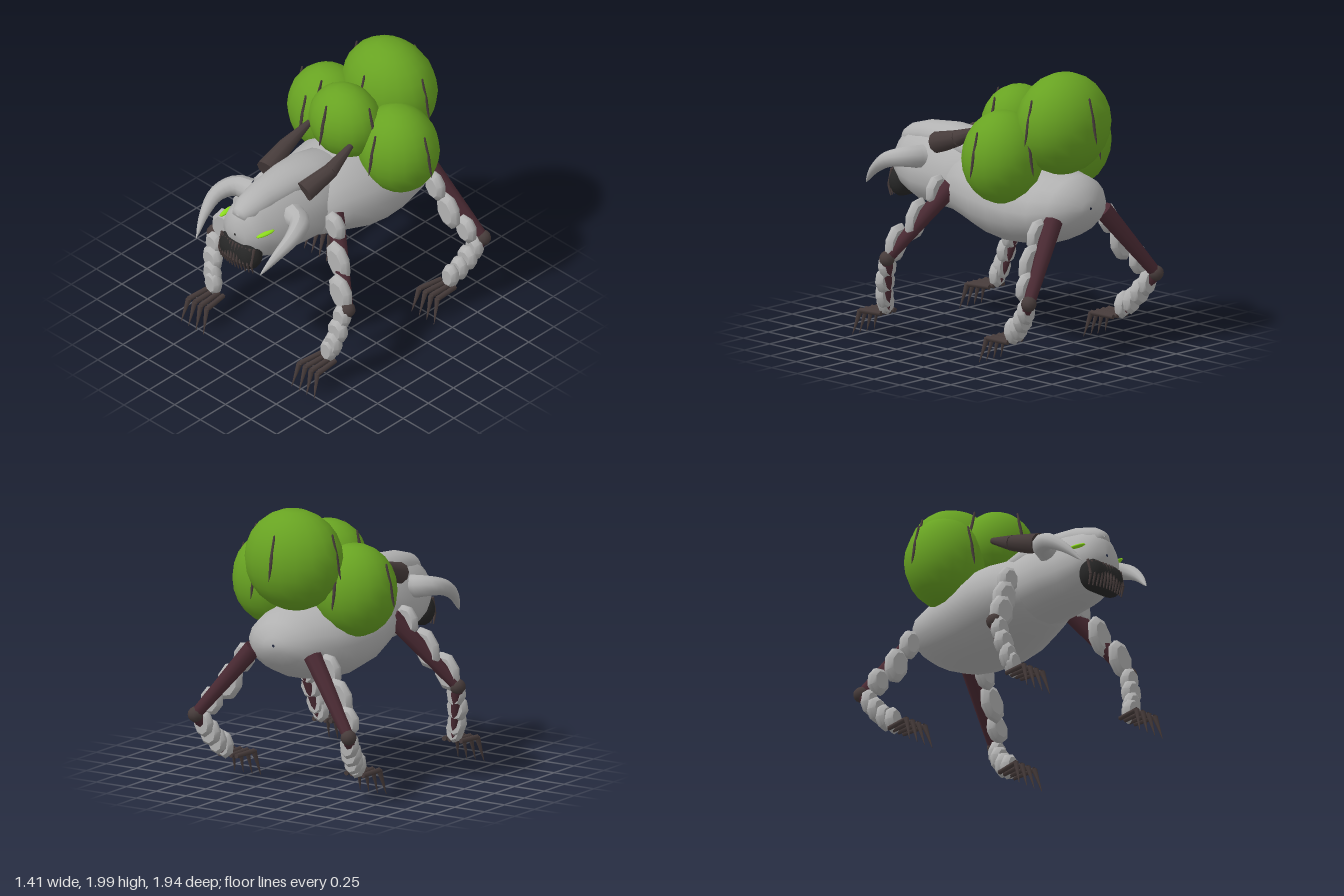
import * as THREE from 'three';
import { mergeVertices, toCreasedNormals } from 'three/addons/utils/BufferGeometryUtils.js';

const mat = (name, color) => {
  const m = new THREE.MeshStandardMaterial({ color });
  m.name = name;
  return m;
};
const V = (p, s = 1) => new THREE.Vector3(p[0] * s, p[1], p[2]);

export function createModel() {
  const root = new THREE.Group();
  root.name = 'creature';
  const hide = mat('pale grey hide', 0xb2b2b2);
  const green = mat('green sac', 0x68a322);
  const horn = mat('dark brown horn', 0x473c3b);
  const flesh = mat('maroon flesh', 0x4a2a33);
  const black = mat('black mouth', 0x272727);
  const lime = mat('lime eye', 0x8fe01e);

  const add = (parent, name, geo, material) => {
    const m = new THREE.Mesh(geo, material);
    m.name = name;
    parent.add(m);
    return m;
  };
  // Tapered bar between two points
  const bar = (parent, name, a, b, r0, r1, material, seg = 8) => {
    const d = b.clone().sub(a);
    const m = add(parent, name, new THREE.CylinderGeometry(r1, r0, d.length(), seg), material);
    m.position.copy(a).add(b).multiplyScalar(0.5);
    m.quaternion.setFromUnitVectors(new THREE.Vector3(0, 1, 0), d.normalize());
    return m;
  };
  // Closed skin over elliptical rings [z, bottom, top, halfWidth], front to back
  const loft = (rings, pinch = 0, n = 18) => {
    const pos = [], idx = [];
    for (const [z, lo, hi, rx] of rings) {
      for (let j = 0; j < n; j++) {
        const a = (j / n) * Math.PI * 2, s = Math.sin(a);
        pos.push(Math.cos(a) * rx * (1 - pinch * s), (lo + hi) / 2 + s * (hi - lo) / 2, z);
      }
    }
    for (let i = 0; i < rings.length - 1; i++) {
      for (let j = 0; j < n; j++) {
        const a = i * n + j, b = i * n + (j + 1) % n, c = a + n, d = b + n;
        idx.push(a, c, b, b, c, d);
      }
    }
    const g = new THREE.BufferGeometry();
    g.setAttribute('position', new THREE.Float32BufferAttribute(pos, 3));
    g.setIndex(idx);
    g.computeVertexNormals();
    return g;
  };

  // Torso, skull and the raised crest over the skull
  add(root, 'body', loft([
    [0.40, 1.05, 1.15, 0.02], [0.33, 0.92, 1.24, 0.2], [0.22, 0.85, 1.32, 0.3], [0.08, 0.82, 1.38, 0.36],
    [-0.1, 0.765, 1.4, 0.405], [-0.28, 0.74, 1.38, 0.41], [-0.45, 0.75, 1.34, 0.4], [-0.62, 0.785, 1.3, 0.365],
    [-0.76, 0.85, 1.28, 0.3], [-0.85, 0.92, 1.23, 0.21], [-0.9, 1.01, 1.13, 0.09], [-0.905, 1.06, 1.08, 0.01]], 0.08), hide);
  add(root, 'head', loft([
    [0.9, 1.15, 1.17, 0.01], [0.89, 1.07, 1.26, 0.09], [0.85, 1.0, 1.34, 0.16], [0.76, 0.93, 1.39, 0.205],
    [0.62, 0.88, 1.42, 0.24], [0.45, 0.87, 1.44, 0.26], [0.28, 0.86, 1.43, 0.265], [0.12, 0.9, 1.41, 0.25],
    [-0.05, 1, 1.36, 0.18], [-0.1, 1.1, 1.2, 0.01]], 0.2), hide);
  add(root, 'crest', loft([
    [0.875, 1.31, 1.32, 0.01], [0.865, 1.25, 1.36, 0.06], [0.8, 1.23, 1.405, 0.1], [0.65, 1.24, 1.45, 0.125],
    [0.4, 1.24, 1.475, 0.15], [0.2, 1.22, 1.455, 0.18], [0, 1.22, 1.4, 0.17], [-0.08, 1.28, 1.32, 0.01]]), hide);

  // Mouth with a curved row of long teeth
  const mouth = add(root, 'mouth', new THREE.CapsuleGeometry(0.1, 0.16, 5, 14), black);
  mouth.rotation.z = Math.PI / 2;
  mouth.scale.set(1.2, 1, 0.88);
  mouth.position.set(0, 1.005, 0.84);
  for (let i = 0; i < 12; i++) {
    const x = -0.155 + i * 0.31 / 11, z = 0.93 - x * x * 1.3;
    bar(root, 'upperTooth', V([x, 1.09, z - 0.03]), V([x, 0.97, z]), 0.011, 0.01, horn, 6);
    bar(root, 'lowerTooth', V([x, 0.97, z]), V([x, 0.895, z - 0.02]), 0.01, 0.005, horn, 6);
  }

  // Eyes, tusks and horns
  for (const s of [1, -1]) {
    const eye = add(root, 'eye', new THREE.SphereGeometry(1, 10, 8), lime);
    eye.scale.set(0.022, 0.012, 0.08);
    eye.position.set(s * 0.19, 1.205, 0.79);
    eye.rotation.y = -s * 0.15;

    const curve = new THREE.CatmullRomCurve3([[0.2, 1.24, 0.53], [0.31, 1.25, 0.57], [0.37, 1.22, 0.7],
      [0.355, 1.13, 0.84], [0.31, 1.0, 0.97]].map(p => V(p, s)));
    const n = 14, seg = 10;
    const tusk = new THREE.TubeGeometry(curve, n, 1, seg);
    const p = tusk.attributes.position, v = new THREE.Vector3();
    for (let i = 0; i <= n; i++) {
      const c = curve.getPointAt(i / n), r = 0.085 * Math.pow(1 - i / n, 0.75) + 0.001;
      for (let j = 0; j <= seg; j++) {
        const k = i * (seg + 1) + j;
        v.fromBufferAttribute(p, k).sub(c).multiplyScalar(r).add(c);
        p.setXYZ(k, v.x, v.y, v.z);
      }
    }
    tusk.computeVertexNormals();
    add(root, 'tusk', tusk, hide);

    bar(root, 'hornBase', V([0.185, 1.36, 0.4], s), V([0.215, 1.435, 0.17], s), 0.078, 0.057, horn, 10);
    bar(root, 'hornTip', V([0.215, 1.435, 0.17], s), V([0.2, 1.53, -0.05], s), 0.057, 0.022, horn, 10);
  }

  // Slightly lumpy sac, puckered at its poles
  const sacGeo = (() => {
    let g = new THREE.SphereGeometry(1, 18, 12);
    g.deleteAttribute('uv');
    g.deleteAttribute('normal');
    const p = g.attributes.position;
    for (let i = 0; i < p.count; i++) {
      const x = p.getX(i), y = p.getY(i), z = p.getZ(i), h = Math.hypot(x, z);
      const k = 1 + 0.015 * Math.sin(Math.atan2(z, x) * 9) * Math.min(1, h * 2) - 0.03 * Math.max(0, 1 - h * 4);
      p.setXYZ(i, x * k, y * k, z * k);
    }
    g = mergeVertices(g, 1e-4);
    g.computeVertexNormals();
    return g;
  })();
  const spikeGeo = new THREE.LatheGeometry([[0, -1], [0.5, -0.75], [1, 0], [0.7, 0.5], [0.5, 0.95], [0, 1]]
    .map(q => new THREE.Vector2(...q)), 6);
  // Each sac: centre, radii; slim spikes lie against four sides
  const sacs = [
    ['rearSac', [0, 1.64, -0.64], [0.37, 0.36, 0.3]],
    ['frontSac', [0, 1.575, -0.2], [0.28, 0.27, 0.235]],
    ['leftSac', [0.34, 1.415, -0.38], [0.305, 0.33, 0.275]],
    ['rightSac', [-0.34, 1.415, -0.38], [0.305, 0.33, 0.275]],
  ];
  for (const [name, c, r] of sacs) {
    const sac = add(root, name, sacGeo, green);
    sac.position.set(...c);
    sac.scale.set(...r);
    for (const [dx, dz] of [[1, 0], [-1, 0], [0, 1], [0, -1]]) {
      const spike = add(root, 'sacSpike', spikeGeo, horn);
      spike.scale.set(0.014, 0.165, 0.014);
      spike.position.set(c[0] + dx * r[0] * 0.955, c[1] + 0.06, c[2] + dz * r[2] * 0.955);
      spike.rotation.set(-dz * 0.22, 0, dx * 0.22);
    }
  }

  // Armour plate: a bevelled disc facing forward
  let plateGeo = new THREE.LatheGeometry([[0, -0.5], [0.75, -0.5], [1, -0.15], [0.95, 0.2], [0.65, 0.5], [0, 0.5]]
    .map(q => new THREE.Vector2(...q)), 8);
  plateGeo.rotateX(Math.PI / 2);
  plateGeo = toCreasedNormals(plateGeo, 0.8);

  const legs = [
    { name: 'frontLeg', hip: [0.27, 1.1, 0.18], knee: [0.65, 0.6, 0.44], ankle: [0.565, 0.2, 0.53],
      plates: [[0.35, 1.07, 0.26, 0.085, 0.115], [0.46, 0.87, 0.34, 0.1, 0.155], [0.57, 0.7, 0.43, 0.1, 0.145],
        [0.62, 0.54, 0.47, 0.075, 0.1], [0.61, 0.43, 0.5, 0.085, 0.1], [0.59, 0.32, 0.525, 0.075, 0.11],
        [0.565, 0.265, 0.54, 0.07, 0.1]] },
    { name: 'hindLeg', hip: [0.25, 1.0, -0.78], knee: [0.64, 0.5, -0.92], ankle: [0.55, 0.19, -0.68],
      plates: [[0.36, 0.91, -0.725, 0.085, 0.12], [0.46, 0.73, -0.755, 0.1, 0.145], [0.57, 0.59, -0.82, 0.09, 0.11],
        [0.61, 0.43, -0.86, 0.075, 0.1], [0.59, 0.36, -0.81, 0.085, 0.1], [0.57, 0.29, -0.75, 0.075, 0.1],
        [0.555, 0.25, -0.68, 0.07, 0.1]] },
  ];
  for (const leg of legs) {
    for (const s of [1, -1]) {
      const g = new THREE.Group();
      g.name = leg.name;
      root.add(g);
      const hip = V(leg.hip, s), knee = V(leg.knee, s), ankle = V(leg.ankle, s);
      bar(g, 'upperLeg', hip, knee, 0.068, 0.042, flesh);
      bar(g, 'lowerLeg', knee, ankle, 0.045, 0.028, flesh);
      add(g, 'kneeJoint', new THREE.SphereGeometry(0.056, 10, 8), horn).position.copy(knee);
      for (const [x, y, z, w, h] of leg.plates) {
        const plate = add(g, 'armourPlate', plateGeo, hide);
        plate.position.set(x * s, y, z);
        plate.scale.set(w, h, 0.08);
        plate.rotation.z = s * (y > leg.knee[1] ? 0.35 : -0.15);
      }
      // Foot with four bent claws
      for (let i = 0; i < 4; i++) {
        const o = (i - 1.5) * 0.058, [ax, ay, az] = leg.ankle;
        const x = ax - 0.025 + o;
        const knuckle = V([x, 0.18, az + 0.19], s);
        bar(g, 'toe', V([ax - 0.02 + o * 0.8, ay - 0.015, az], s), knuckle, 0.018, 0.02, horn, 6);
        bar(g, 'claw', knuckle, V([x + o * 0.25, 0, az + 0.245], s), 0.021, 0.002, horn, 6);
      }
    }
  }
  return root;
}
